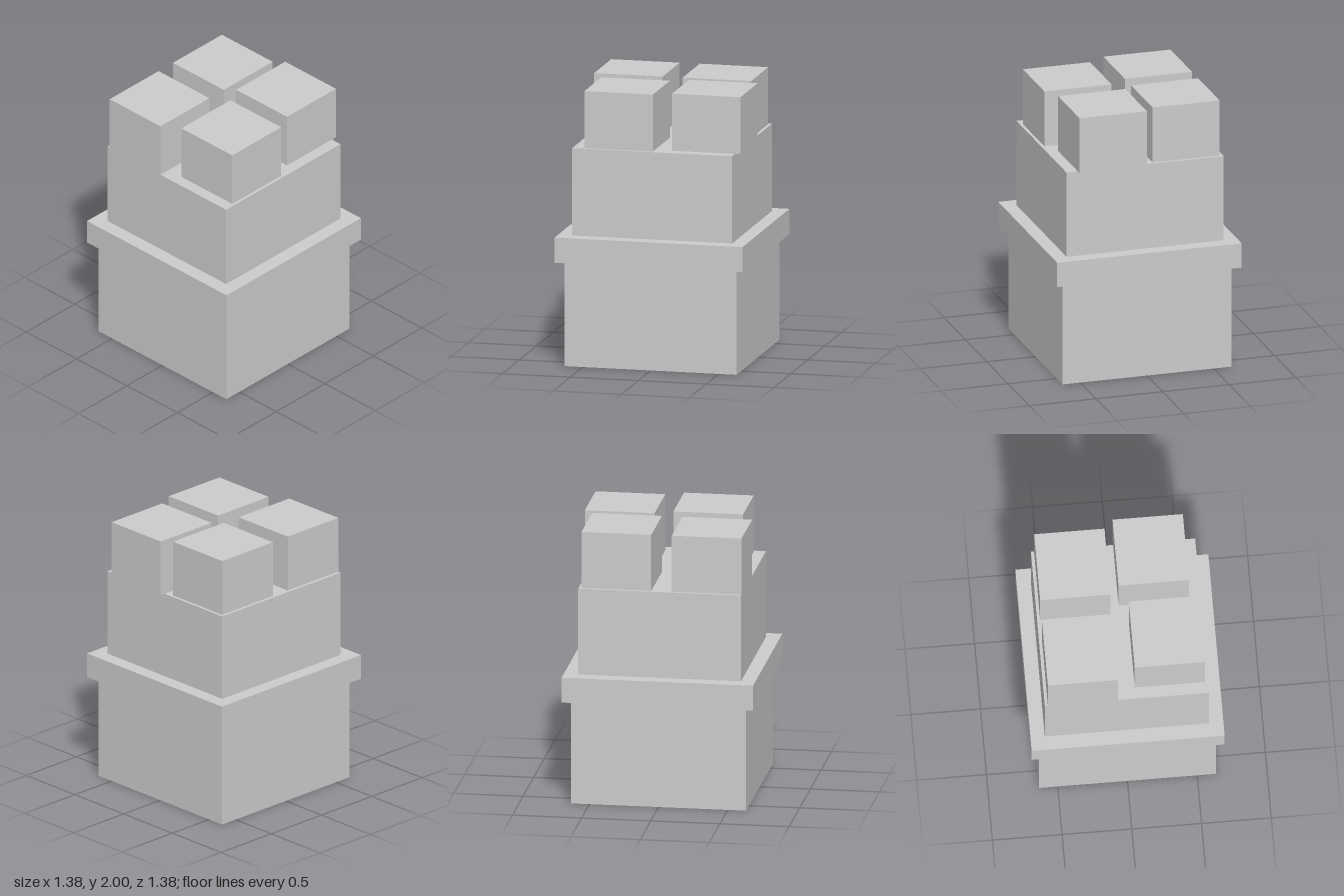
import * as THREE from 'three';

export function createModel() {
  const model = new THREE.Group();
  const material = new THREE.MeshStandardMaterial({ color: 0xcccccc, flatShading: true });

  // Square block of a given width between two heights
  function block(name, width, bottom, top, x = 0, z = 0) {
    const mesh = new THREE.Mesh(new THREE.BoxGeometry(width, top - bottom, width), material);
    mesh.name = name;
    mesh.position.set(x, (bottom + top) / 2, z);
    model.add(mesh);
  }

  // Stacked tower body
  block('base', 1.266, 0, 0.763);
  block('ledge', 1.384, 0.763, 0.947);
  block('upperBody', 1.178, 0.947, 1.584);

  // Four loosely placed blocks on top
  const topBlocks = [
    ['backRightBlock', -0.315, -0.315],
    ['backLeftBlock', 0.252, -0.378],
    ['frontLeftBlock', 0.315, 0.252],
    ['frontRightBlock', -0.315, 0.337],
  ];
  for (const [name, x, z] of topBlocks) block(name, 0.504, 1.584, 2, x, z);

  return model;
}
